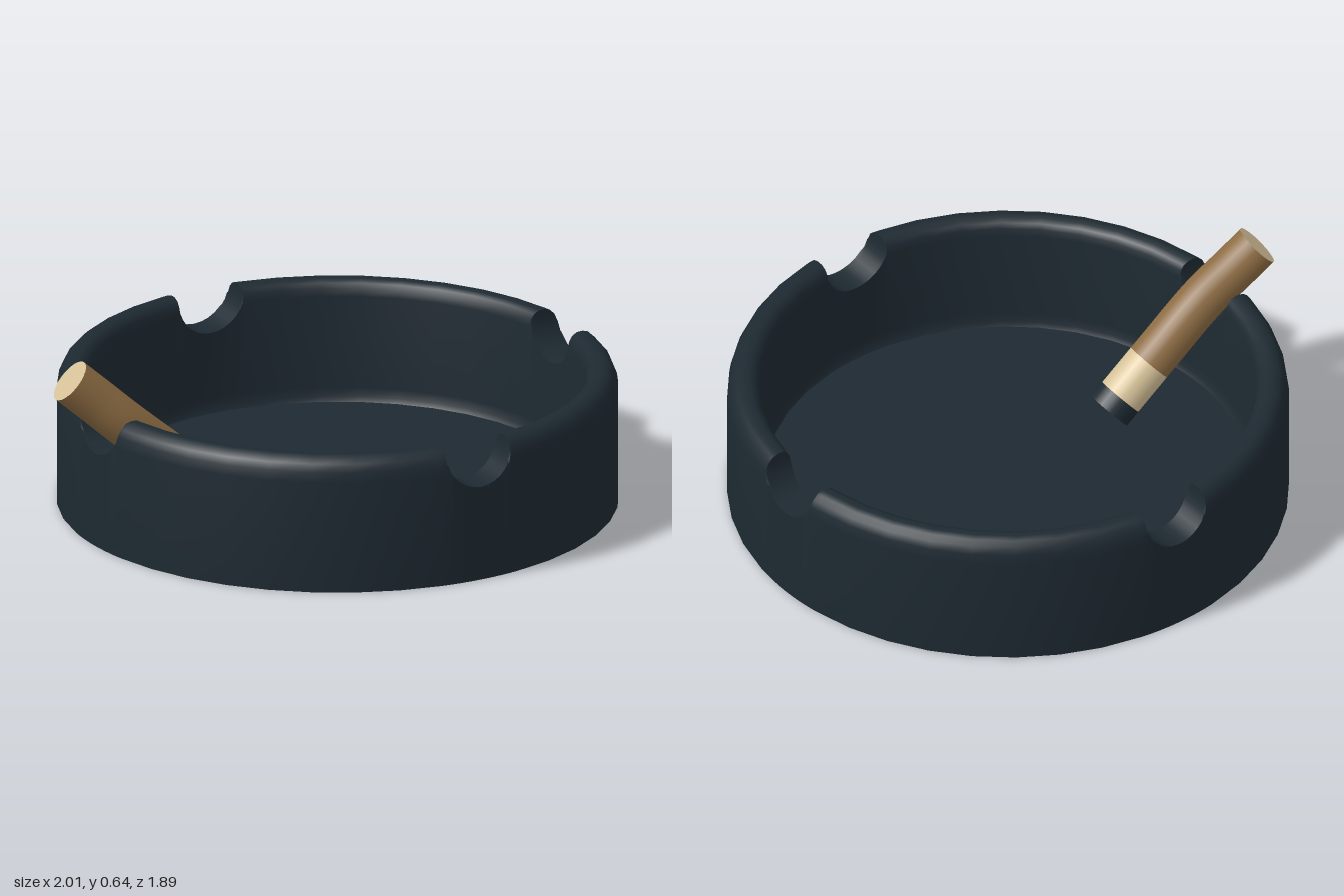
import * as THREE from 'three';
import { toCreasedNormals } from 'three/addons/utils/BufferGeometryUtils.js';

const FLOOR = 0.052, NOTCH_R = 0.125, NOTCH_Y = 0.455;

// Wall cross-section as [radius, height]: up the outside, over the rim, down the inside
const PROFILE = [
  [0.943, 0], [0.943, 0.39], [0.938, 0.425], [0.927, 0.451], [0.91, 0.467], [0.89, 0.473],
  [0.868, 0.472], [0.85, 0.462], [0.839, 0.445], [0.834, 0.42], [0.824, 0.1], [0.821, 0.068], [0.812, FLOOR],
];

// One column per angle; inside a notch the column is capped by a round trough
function wallColumns() {
  const columns = [];
  for (let q = 0; q < 4; q++) {
    const quarter = q * Math.PI / 2;
    const notchColumn = (t, cap) => columns.push(
      PROFILE.map(([r, y]) => [r, Math.min(y, cap), quarter + Math.asin(t / r)]));
    notchColumn(-NOTCH_R, 1);
    for (let i = 0; i <= 14; i++) {
      const s = (i / 14 - 0.5) * Math.PI;
      notchColumn(NOTCH_R * Math.sin(s), NOTCH_Y - NOTCH_R * Math.cos(s));
    }
    notchColumn(NOTCH_R, 1);
    for (let k = 1; k < 10; k++) {
      columns.push(PROFILE.map(([r, y]) => [r, y, quarter + k * Math.PI / 20]));
    }
  }
  return columns;
}

function wallGeometry(columns) {
  const n = PROFILE.length;
  const positions = [], index = [];
  columns.forEach((column, j) => {
    const next = (j + 1) % columns.length;
    column.forEach(([r, y, a], i) => {
      positions.push(r * Math.sin(a), y, r * Math.cos(a));
      if (i === n - 1) return;
      const p = j * n + i, o = next * n + i;
      index.push(p, o, o + 1, p, o + 1, p + 1);
    });
  });
  const geometry = new THREE.BufferGeometry();
  geometry.setAttribute('position', new THREE.Float32BufferAttribute(positions, 3));
  geometry.setIndex(index);
  return toCreasedNormals(geometry, 0.7);
}

// Flat disc that follows one edge of the wall, facing up (sign 1) or down (sign -1)
function discGeometry(columns, i, sign) {
  const outline = columns.map(column => {
    const [r, , a] = column[i];
    return new THREE.Vector2(r * Math.sin(a), -sign * r * Math.cos(a));
  });
  return new THREE.ShapeGeometry(new THREE.Shape(outline))
    .rotateX(-sign * Math.PI / 2).translate(0, PROFILE[i][1], 0);
}

export function createModel() {
  const material = (name, color) => {
    const m = new THREE.MeshStandardMaterial({ color });
    m.name = name;
    return m;
  };
  const slate = material('dark slate', 0x1d2931);
  const brown = material('brown', 0x8d6c43);
  const cream = material('cream', 0xd6c198);

  const model = new THREE.Group();
  model.name = 'ashtray';
  const add = (parent, name, geometry, mat) => {
    const mesh = new THREE.Mesh(geometry, mat);
    mesh.name = name;
    parent.add(mesh);
    return mesh;
  };

  // Round tray with four notches
  const tray = new THREE.Group();
  tray.name = 'tray';
  tray.position.x = 0.057;
  model.add(tray);
  const columns = wallColumns();
  add(tray, 'wall', wallGeometry(columns), slate);
  add(tray, 'floor', discGeometry(columns, PROFILE.length - 1, 1), slate);
  add(tray, 'base', discGeometry(columns, 0, -1), slate);

  // Bent stub resting in the right notch, its tip on the floor
  const stub = new THREE.Group();
  stub.name = 'stub';
  model.add(stub);
  const path = new THREE.CatmullRomCurve3([
    [-0.952, 0.583, -0.06], [-0.87, 0.508, -0.036], [-0.77, 0.415, -0.004],
    [-0.58, 0.253, 0.013], [-0.39, 0.095, 0.025],
  ].map(p => new THREE.Vector3(...p)));
  const radius = 0.079, sides = 24;
  const body = new THREE.TubeGeometry(path, 25, radius, sides);
  // Bands of colour along the stub: first ring, ring count, material
  [[0, 18, 0], [18, 5, 1], [23, 2, 2]].forEach(([start, count, m]) =>
    body.addGroup(start * sides * 6, count * sides * 6, m));
  add(stub, 'stubBody', body, [brown, cream, slate]);

  // End discs
  [['stubEnd', 0, -1, cream], ['burntTip', 1, 1, slate]].forEach(([name, u, sign, mat]) => {
    const disc = add(stub, name, new THREE.CircleGeometry(radius, sides), mat);
    const out = path.getTangentAt(u).multiplyScalar(sign);
    disc.position.copy(path.getPointAt(u));
    disc.quaternion.setFromUnitVectors(new THREE.Vector3(0, 0, 1), out);
  });

  return model;
}
